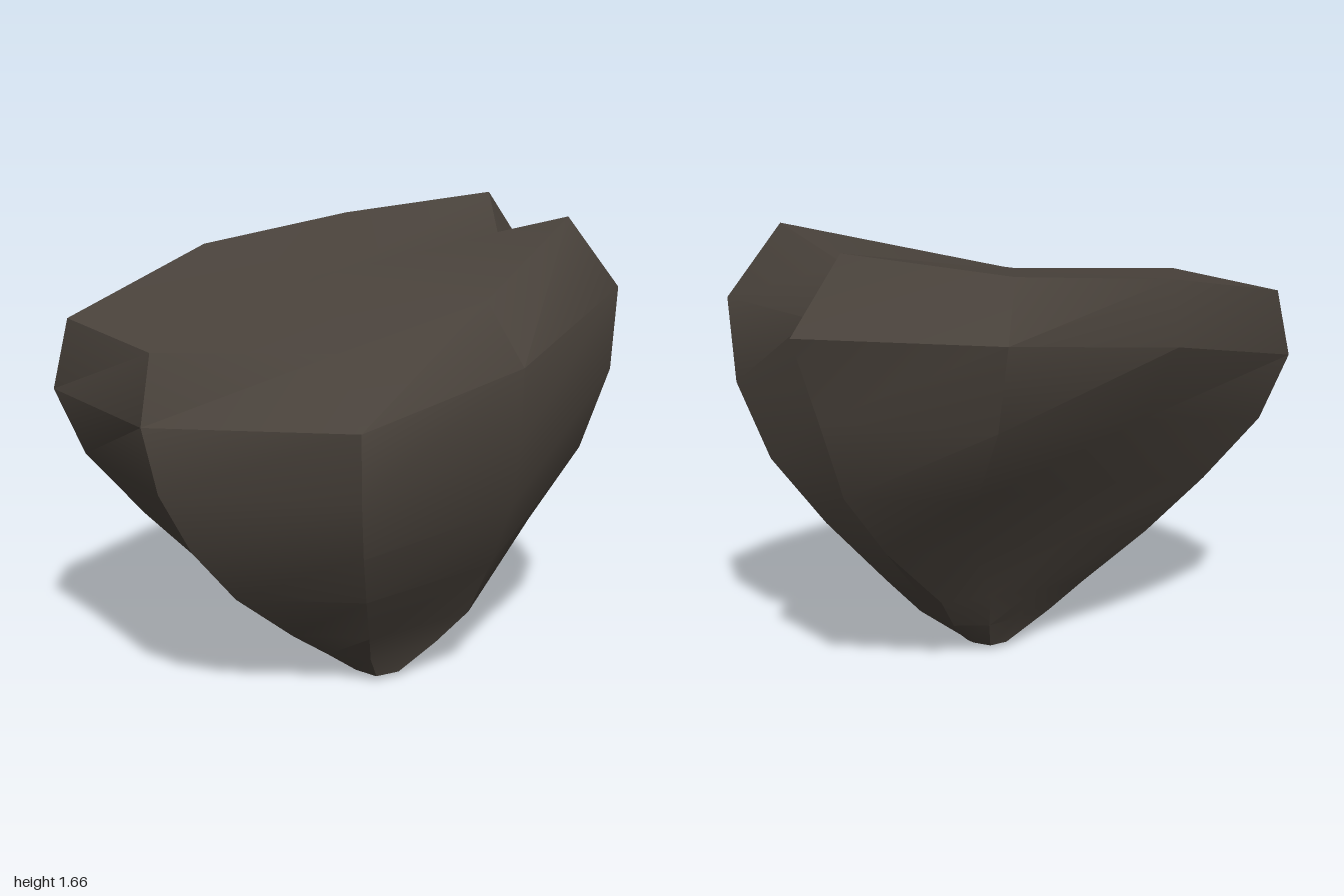
import * as THREE from 'three';
import { toCreasedNormals } from 'three/addons/utils/BufferGeometryUtils.js';

const TIP = [0.07, 0.14]; // x, z the body tapers towards
const CROWN = [0, 1.47, -0.08];
const FOOT = [0.05, 0, 0.15];
const HEIGHTS = [0.78, 0.57, 0.38, 0.2, 0.1]; // levels below the rim, as fractions of its height

// Widths at those levels, as fractions of the rim
const leftPoint = [0.91, 0.73, 0.54, 0.33, 0.22];
const hollow = [0.83, 0.62, 0.46, 0.29, 0.2];
const back = [0.93, 0.72, 0.48, 0.3, 0.23];
const notch = [0.88, 0.77, 0.56, 0.42, 0.26];
const lobe = [0.98, 0.86, 0.65, 0.41, 0.27];
const front = [0.96, 0.82, 0.61, 0.38, 0.27];
const leftCorner = [0.94, 0.81, 0.63, 0.38, 0.22];

// Ridges around the stone: top edge, rim, widths, optional sideways bend
const ridges = [
  { top: [-0.94, 1.35, -0.26], rim: [-1, 1.1, -0.26], widths: leftPoint },
  { top: [-0.31, 1.51, -0.59], rim: [-0.32, 1.28, -0.62], widths: hollow },
  { top: [0.3, 1.58, -0.64], rim: [0.37, 1.38, -0.74], widths: back, bend: [0.03, 0.09, 0.08, 0, 0] },
  { top: [0.81, 1.66, -0.42], rim: [1, 1.41, -0.46], widths: notch, bend: [0, 0, 0, -0.11, -0.05] },
  { top: [0.69, 1.56, -0.12], rim: [0.81, 1.38, -0.1], widths: notch },
  { top: [0.81, 1.66, 0.19], rim: [0.99, 1.4, 0.26], widths: lobe },
  { top: [0.31, 1.46, 0.52], rim: [0.4, 1.24, 0.63], widths: front, bend: [0.02, 0.07, 0.12, 0.17, 0.1] },
  { top: [-0.26, 1.34, 0.56], rim: [-0.25, 1.11, 0.73], widths: front },
  { top: [-0.82, 1.34, 0.3], rim: [-0.88, 1.11, 0.37], widths: leftCorner },
];

// Full run of points down one ridge, ending on a small oval foot
function ridgePoints({ top, rim, widths, bend }) {
  const dx = rim[0] - TIP[0];
  const dz = rim[2] - TIP[1];
  const body = widths.map((w, i) => [
    TIP[0] + dx * w + (bend ? bend[i] : 0),
    rim[1] * HEIGHTS[i],
    TIP[1] + dz * w,
  ]);
  const angle = Math.atan2(dz, dx);
  const foot = [TIP[0] + 0.09 * Math.cos(angle), 0.02, TIP[1] + 0.13 * Math.sin(angle)];
  return [top, rim, ...body, foot];
}

// Crown fan, side strips between neighbouring ridges, and foot fan
function stoneGeometry() {
  const lines = ridges.map(ridgePoints);
  const n = lines.length;
  const rows = lines[0].length;
  const pos = [];
  const tri = (a, b, c) => pos.push(...a, ...b, ...c);
  for (let i = 0; i < n; i++) {
    const a = lines[i];
    const b = lines[(i + 1) % n];
    tri(CROWN, b[0], a[0]);
    for (let r = 0; r < rows - 1; r++) {
      tri(a[r], b[r], b[r + 1]);
      tri(a[r], b[r + 1], a[r + 1]);
    }
    tri(FOOT, a[rows - 1], b[rows - 1]);
  }
  const geo = new THREE.BufferGeometry();
  geo.setAttribute('position', new THREE.Float32BufferAttribute(pos, 3));
  return toCreasedNormals(geo, 0.6);
}

export function createModel() {
  const group = new THREE.Group();
  group.name = 'rock';
  const stone = new THREE.MeshStandardMaterial({ color: 0x4a433c });
  stone.name = 'dark stone';
  const body = new THREE.Mesh(stoneGeometry(), stone);
  body.name = 'notchedStone';
  group.add(body);
  return group;
}
